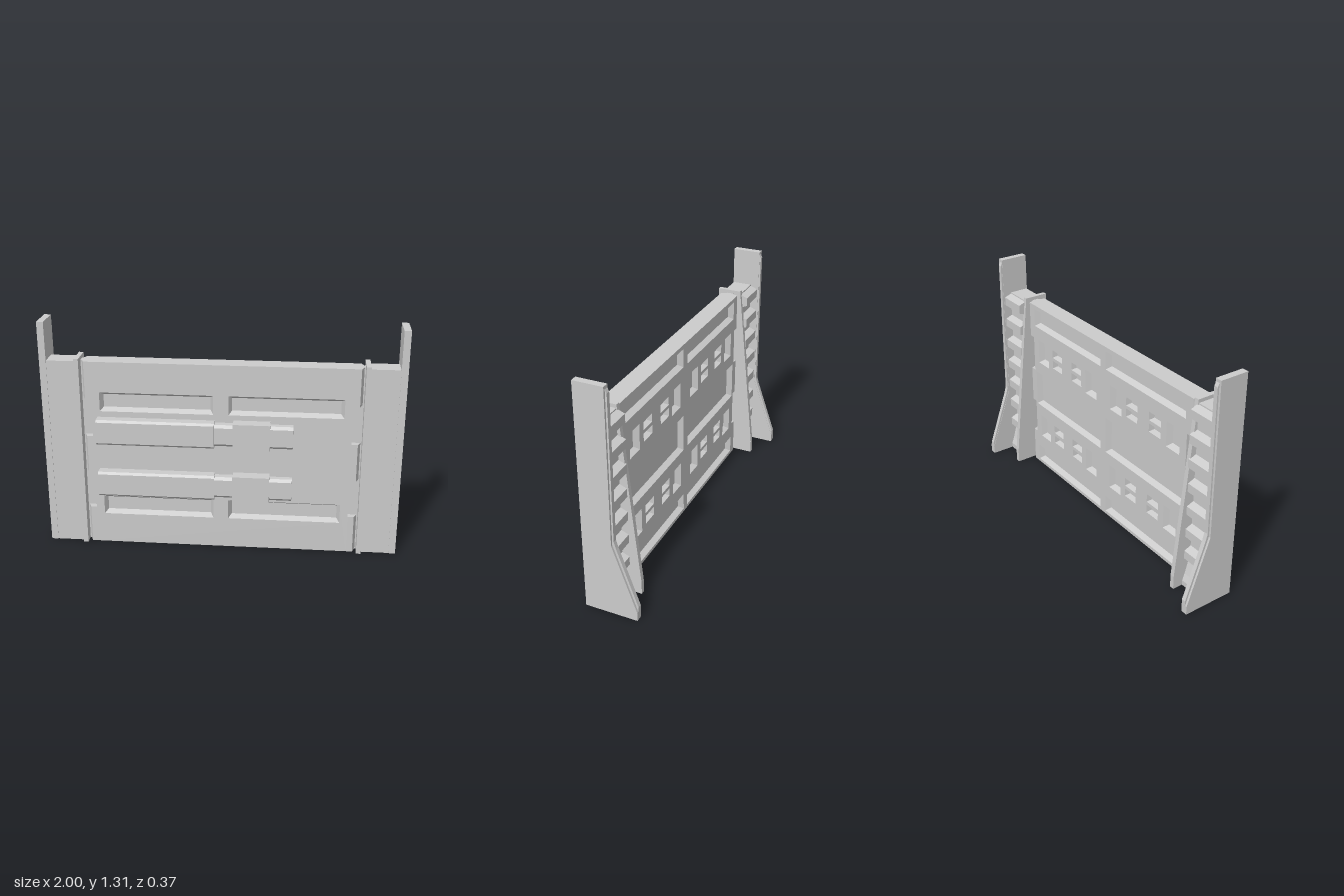
import * as THREE from 'three';

const material = new THREE.MeshStandardMaterial({ color: 0xcccccc, flatShading: true });
const LAYER = 0.035;   // thickness of each panel skin
const HEIGHT = 1.095;  // panel height

function add(parent, name, geometry, x = 0, y = 0, z = 0) {
  const mesh = new THREE.Mesh(geometry, material);
  mesh.name = name;
  mesh.position.set(x, y, z);
  parent.add(mesh);
  return mesh;
}

function shapeOf(points) {
  return new THREE.Shape(points.map(([a, b]) => new THREE.Vector2(a, b)));
}

// Extrude a [z, y] profile along x, centred on its own middle
function alongX(points, width) {
  const g = new THREE.ExtrudeGeometry(shapeOf(points), { depth: width, bevelEnabled: false });
  return g.translate(0, 0, -width / 2).rotateY(-Math.PI / 2);
}

// Extrude an [x, z] profile upward
function alongY(points, height) {
  const g = new THREE.ExtrudeGeometry(shapeOf(points.map(([x, z]) => [x, -z])), { depth: height, bevelEnabled: false });
  return g.rotateX(-Math.PI / 2);
}

function box(parent, name, x0, x1, y0, y1, z0, z1) {
  return add(parent, name, new THREE.BoxGeometry(x1 - x0, y1 - y0, z1 - z0),
    (x0 + x1) / 2, (y0 + y1) / 2, (z0 + z1) / 2);
}

const corners = (x0, x1, y0, y1) => [[x0, y0], [x1, y0], [x1, y1], [x0, y1]];

// Sunken tray with sloping walls and a flat floor, open towards +z
function trayGeometry([x0, x1, y0, y1], slope) {
  const rim = corners(x0, x1, y0, y1).map(([x, y]) => [x, y, LAYER]);
  const floor = corners(x0 + slope, x1 - slope, y0 + slope, y1 - slope).map(([x, y]) => [x, y, 0.004]);
  const index = [4, 5, 6, 4, 6, 7];
  for (let k = 0; k < 4; k++) {
    const n = (k + 1) % 4;
    index.push(k, n, n + 4, k, n + 4, k + 4);
  }
  const indexed = new THREE.BufferGeometry();
  indexed.setAttribute('position', new THREE.Float32BufferAttribute([...rim, ...floor].flat(), 3));
  indexed.setIndex(index);
  const g = indexed.toNonIndexed();
  g.computeVertexNormals();
  return g;
}

// One skin of the panel: plate with recesses, and chamfered edges broken by notches
function panelSkin(name, recesses) {
  const group = new THREE.Group();
  group.name = name;
  const shape = shapeOf(corners(-0.72, 0.72, 0, HEIGHT));
  for (const [x0, x1, y0, y1] of recesses) {
    const pts = corners(x0, x1, y0, y1).map(([x, y]) => new THREE.Vector2(x, y));
    shape.holes.push(new THREE.Path(pts.reverse()));
  }
  add(group, 'skinPlate', new THREE.ExtrudeGeometry(shape, { depth: LAYER, bevelEnabled: false }));
  for (const r of recesses) {
    const small = Math.min(r[1] - r[0], r[3] - r[2]);
    add(group, 'recess', trayGeometry(r, Math.min(0.018, small * 0.18)));
  }
  for (const s of [-1, 1]) {
    const profile = [[0.72, 0], [0.77, 0], [0.755, LAYER], [0.72, LAYER]].map(([x, z]) => [s * x, z]);
    for (const [y0, y1] of [[0, 0.22], [0.44, 0.66], [0.88, HEIGHT]]) {
      add(group, 'panelEdge', alongY(profile, y1 - y0), 0, y0, 0);
    }
  }
  return group;
}

const bothSides = (list) => list.flatMap(([x0, x1, y0, y1]) => [[x0, x1, y0, y1], [-x1, -x0, y0, y1]]);

function buildPanel() {
  const panel = new THREE.Group();
  panel.name = 'panel';
  box(panel, 'panelCore', -0.78, 0.78, 0, HEIGHT, 0.045, 0.082);

  const front = panelSkin('frontSkin', bothSides([[0.042, 0.675, 0.81, 0.92], [0.042, 0.675, 0.18, 0.293]]));
  front.position.z = 0.082;

  // Back: long recesses plus rows of tall and small pockets
  const recesses = [[0.025, 0.705, 0.96, 1.07], [0.025, 0.705, 0.43, 0.655], [0.025, 0.705, 0.02, 0.125]];
  for (const y of [0.21, 0.73]) {
    for (const x of [0.065, 0.56]) recesses.push([x, x + 0.108, y, y + 0.15]);
    for (const x of [0.215, 0.415]) {
      for (const dy of [0.02, 0.09]) recesses.push([x, x + 0.1, y + dy, y + dy + 0.05]);
    }
  }
  const back = panelSkin('backSkin', bothSides(recesses));
  back.rotation.y = Math.PI;
  back.position.z = 0.045;
  panel.add(front, back);
  return panel;
}

// Sliding bolt across the front of the panel
function buildBolt(y) {
  const bolt = new THREE.Group();
  bolt.name = 'bolt';
  bolt.position.y = y;
  const bar = (name, x0, x1, half, z1, c) => add(bolt, name, alongX([
    [0.115, -half], [z1 - c, -half], [z1, -half + c], [z1, half - c], [z1 - c, half], [0.115, half],
  ], x1 - x0), (x0 + x1) / 2);
  bar('boltHousing', -0.69, -0.033, 0.073, 0.18, 0.012);
  bar('boltNeck', -0.033, 0.07, 0.062, 0.17, 0.015);
  box(bolt, 'boltKeeper', 0.07, 0.275, -0.077, 0.077, 0.115, 0.187);
  add(bolt, 'boltTip', alongX([
    [0.128, -0.065], [0.16, -0.065], [0.175, -0.05], [0.175, 0.05], [0.16, 0.065], [0.128, 0.065],
  ], 0.125), 0.3375);
  box(bolt, 'boltTipMount', 0.275, 0.39, -0.05, 0.05, 0.115, 0.13);
  return bolt;
}

// Side post: outer wall, back rail, ribbed web and inner flange
function buildPost(s) {
  const post = new THREE.Group();
  post.name = s > 0 ? 'leftPost' : 'rightPost';
  add(post, 'outerWall', alongX([
    [0.118, 0], [0.118, 1.312], [-0.048, 1.312], [-0.048, 0.43], [-0.182, 0.05], [-0.182, 0],
  ], 0.038), s * 0.981);
  add(post, 'backRail', alongX([
    [0, 0.05], [0, 1.295], [-0.048, 1.295], [-0.057, 1.275], [-0.057, 0.45], [-0.068, 0.41], [-0.184, 0.08], [-0.184, 0.05],
  ], 0.024), s * 0.976);
  add(post, 'web', new THREE.BoxGeometry(0.17, HEIGHT, 0.113), s * 0.88, HEIGHT / 2, 0.0585);
  add(post, 'sill', alongX([[0.01, 0], [0.01, 0.18], [0, 0.18], [-0.03, 0.07], [-0.045, 0.03], [-0.045, 0]], 0.17), s * 0.88);
  for (let i = 0; i < 7; i++) {
    add(post, 'rib', alongX([[0.01, -0.045], [-0.04, -0.025], [-0.04, 0.025], [0.01, 0.045]], 0.17),
      s * 0.88, 0.2 + 0.141 * i);
  }
  add(post, 'innerFlange', alongX([
    [0.14, 0], [0.14, 1.115], [0, 1.115], [-0.106, 0.08], [-0.106, 0],
  ], 0.026), s * 0.79);
  return post;
}

export function createModel() {
  const model = new THREE.Group();
  model.name = 'barrier';
  model.add(buildPanel(), buildBolt(0.704), buildBolt(0.392), buildPost(1), buildPost(-1));
  return model;
}
